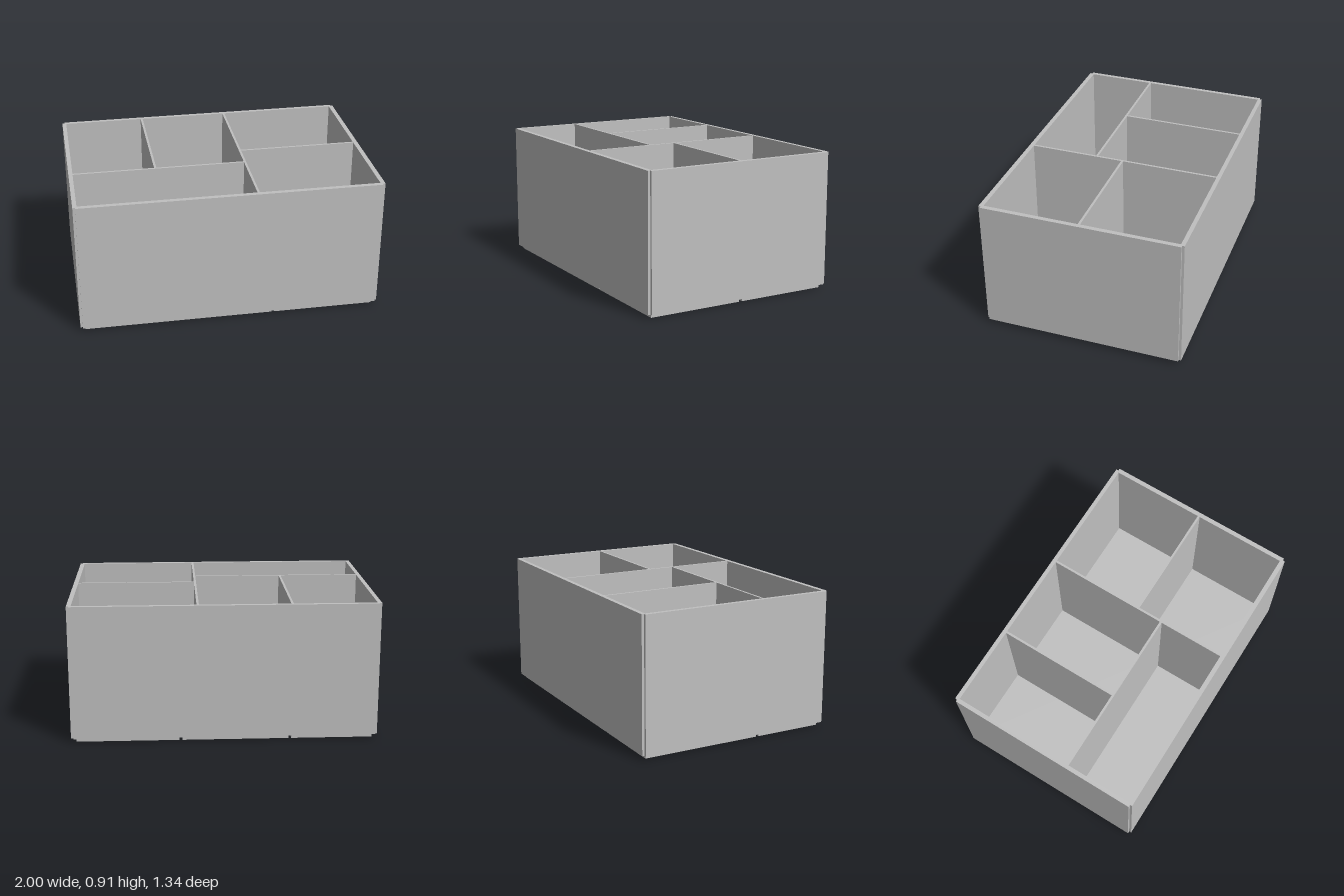
import * as THREE from 'three';

const W = 1, D = 0.67, NOTCH = 0.016;      // outer half sizes and corner notch
const BASE = 0.027, FLOOR = 0.05, TOP = 0.91;

// Rectangle outline with a small square notch at each corner (plan coordinates x, -z)
function notchedOutline() {
  const a = W - NOTCH, b = D - NOTCH;
  return [
    [W, -b], [W, b], [a, b], [a, D], [-a, D], [-a, b],
    [-W, b], [-W, -b], [-a, -b], [-a, -D], [a, -D], [a, -b],
  ].map(([x, y]) => new THREE.Vector2(x, y));
}

// Upright slab from plan outline between two heights, with rectangular holes
function slab(y0, y1, holes = []) {
  const shape = new THREE.Shape(notchedOutline());
  for (const [x0, x1, z0, z1] of holes) {
    shape.holes.push(new THREE.Path([
      new THREE.Vector2(x0, -z0), new THREE.Vector2(x1, -z0),
      new THREE.Vector2(x1, -z1), new THREE.Vector2(x0, -z1),
    ]));
  }
  const geo = new THREE.ExtrudeGeometry(shape, { depth: y1 - y0, bevelEnabled: false });
  geo.rotateX(-Math.PI / 2);
  geo.translate(0, y0, 0);
  return geo;
}

export function createModel() {
  const group = new THREE.Group();
  const grey = new THREE.MeshStandardMaterial({ color: 0xc0c0c0 });
  grey.name = 'light grey';

  const add = (name, geo) => {
    const mesh = new THREE.Mesh(geo, grey);
    mesh.name = name;
    group.add(mesh);
  };

  // Outer walls and dividers: one frame with five open compartments [x0, x1, z0, z1]
  const compartments = [
    [-0.973, -0.437, -0.643, 0.178],
    [-0.422, 0.165, -0.643, 0.178],
    [-0.973, 0.165, 0.193, 0.64],
    [0.18, 0.97, -0.643, -0.003],
    [0.18, 0.97, 0.012, 0.64],
  ];
  add('wallsAndDividers', slab(FLOOR, TOP, compartments));

  // Floor plate
  add('floor', slab(BASE, FLOOR));

  // Raised pads under the floor, separated by narrow grooves
  const pads = [
    [-0.967, -0.437, -0.64, 0.165],
    [-0.418, 0.277, -0.64, 0.165],
    [-0.967, 0.277, 0.185, 0.64],
    [0.295, 0.967, -0.64, -0.025],
    [0.295, 0.967, -0.003, 0.64],
  ];
  pads.forEach(([x0, x1, z0, z1], i) => {
    const geo = new THREE.BoxGeometry(x1 - x0, BASE, z1 - z0);
    geo.translate((x0 + x1) / 2, BASE / 2, (z0 + z1) / 2);
    add(`basePad${i + 1}`, geo);
  });

  return group;
}
